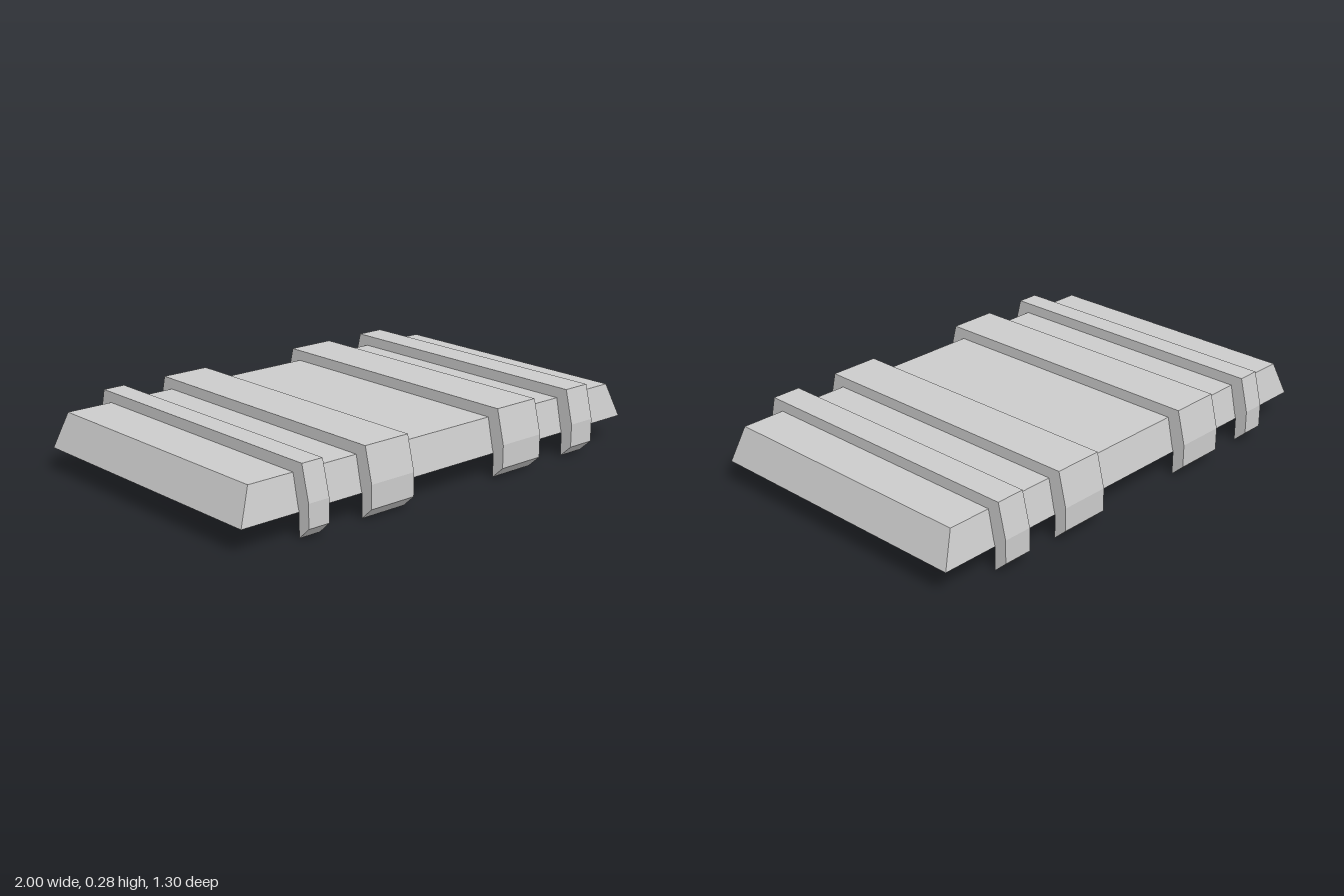
import * as THREE from 'three';

const material = new THREE.MeshStandardMaterial({ color: 0xcccccc, flatShading: true });

// Slab whose four sides lean inwards towards the top
function taperedSlab(bottomX, bottomZ, topX, topZ, y0, y1) {
  const geometry = new THREE.BoxGeometry(2, 2, 2);
  const p = geometry.attributes.position;
  for (let i = 0; i < p.count; i++) {
    const top = p.getY(i) > 0;
    p.setXYZ(i, p.getX(i) * (top ? topX : bottomX), top ? y1 : y0, p.getZ(i) * (top ? topZ : bottomZ));
  }
  geometry.computeVertexNormals();
  return geometry;
}

// Half outline of a strap as [z, y]: over the top, down the side, hooked end, back up inside
const strapHalf = [
  [0.615, 0.282], [0.65, 0.143], [0.65, 0.048], [0.598, 0],
  [0.598, 0.1], [0.56, 0.225],
];

function strapGeometry(width) {
  const mirrored = strapHalf.map(([z, y]) => [-z, y]).reverse();
  const outline = [...strapHalf, ...mirrored].map(([z, y]) => new THREE.Vector2(z, y));
  const geometry = new THREE.ExtrudeGeometry(new THREE.Shape(outline), { depth: width, bevelEnabled: false });
  return geometry.rotateY(Math.PI / 2);
}

export function createModel() {
  const model = new THREE.Group();
  model.name = 'strappedPanel';

  const panel = new THREE.Mesh(taperedSlab(1, 0.597, 0.945, 0.567, 0.097, 0.238), material);
  panel.name = 'panel';
  model.add(panel);

  // Straps wrapped across the panel, given by their x range
  const straps = [
    ['outerStrapRight', -0.745, -0.65],
    ['innerStrapRight', -0.45, -0.24],
    ['innerStrapLeft', 0.237, 0.448],
    ['outerStrapLeft', 0.637, 0.76],
  ];
  for (const [name, x0, x1] of straps) {
    const strap = new THREE.Mesh(strapGeometry(x1 - x0), material);
    strap.name = name;
    strap.position.x = x0;
    model.add(strap);
  }
  return model;
}
